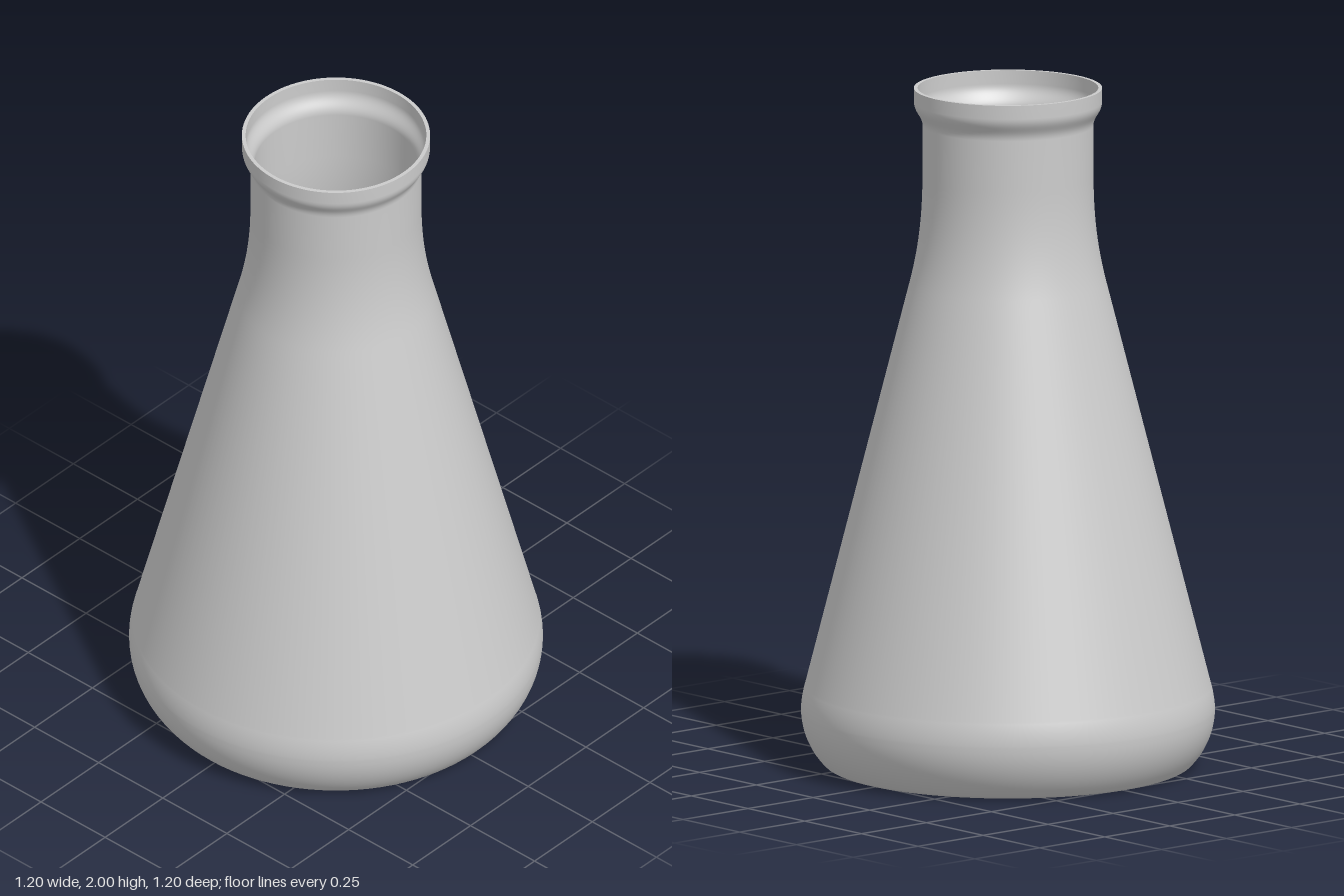
import * as THREE from 'three';

const WALL = 0.011;
const SEGMENTS = 96;

// Outside outline from the foot up to the lip
function outline() {
  const path = new THREE.Path();
  path.moveTo(0.5, 0);
  path.quadraticCurveTo(0.525, 0, 0.537, 0.012);
  path.bezierCurveTo(0.57, 0.045, 0.6, 0.1, 0.6, 0.165);
  path.quadraticCurveTo(0.6, 0.2, 0.588, 0.24); // widest bulge
  path.lineTo(0.292, 1.4); // straight cone
  path.bezierCurveTo(0.265, 1.5, 0.248, 1.6, 0.248, 1.74); // shoulder
  path.lineTo(0.248, 1.89); // neck
  path.bezierCurveTo(0.248, 1.92, 0.273, 1.93, 0.273, 1.96); // flared rim
  path.lineTo(0.273, 2);
  return path.getPoints(12);
}

export function createModel() {
  const group = new THREE.Group();
  group.name = 'conicalFlask';
  const material = new THREE.MeshStandardMaterial({ color: 0xcccccc });

  const turn = (name, points) => {
    const mesh = new THREE.Mesh(new THREE.LatheGeometry(points, SEGMENTS), material);
    mesh.name = name;
    group.add(mesh);
  };
  const v = (x, y) => new THREE.Vector2(x, y);

  const outer = outline();
  // Inner skin runs downward so that it faces the hollow
  const inner = outer
    .filter((p) => p.y > WALL)
    .map((p) => v(p.x - WALL, p.y))
    .reverse();
  const foot = inner[inner.length - 1];

  turn('outerWall', outer);
  turn('base', [v(0, 0), outer[0]]);
  turn('lip', [outer[outer.length - 1], inner[0]]);
  turn('innerWall', inner);
  turn('innerFloor', [foot, v(0, foot.y)]);
  return group;
}
